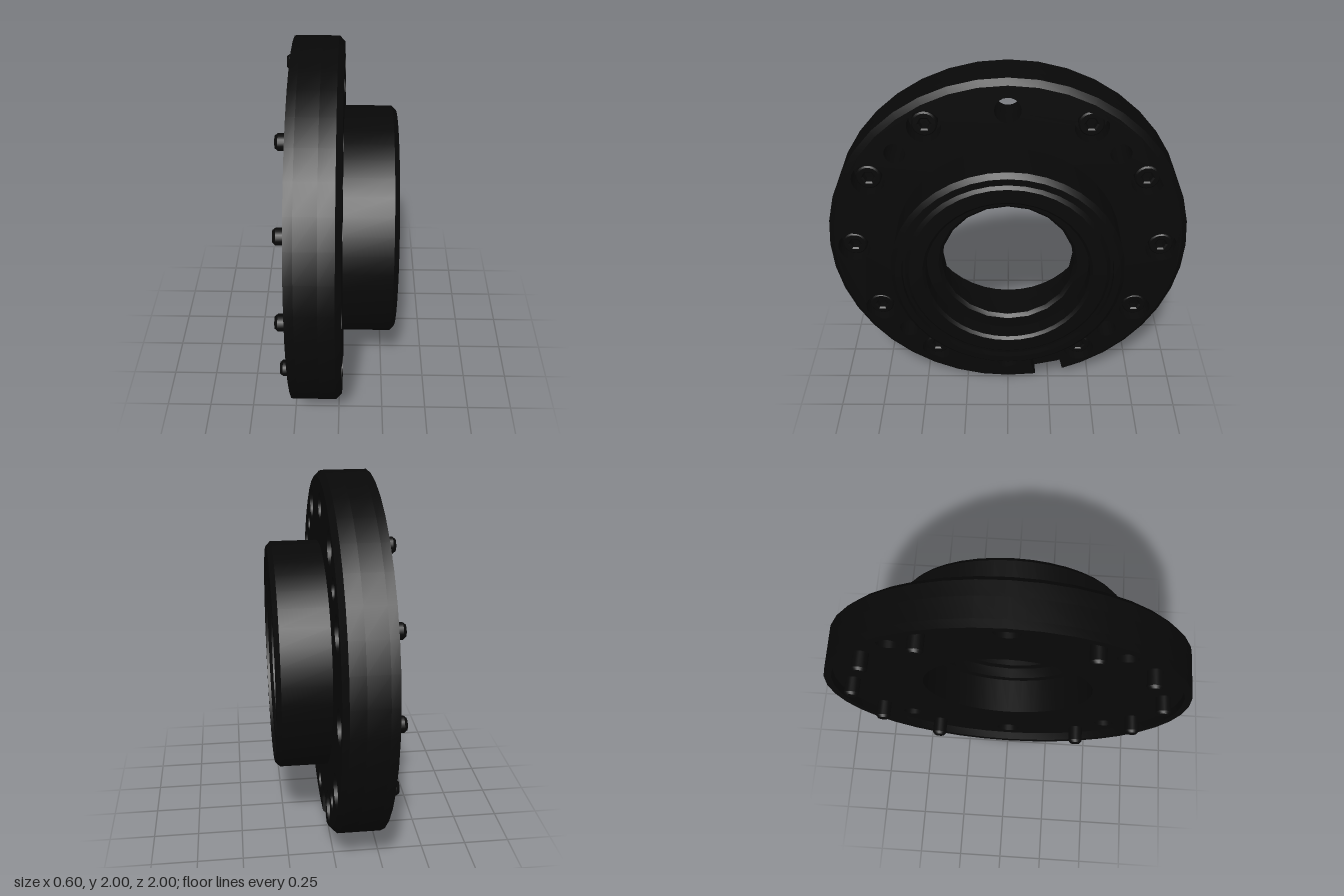
import * as THREE from 'three';
import { toCreasedNormals } from 'three/addons/utils/BufferGeometryUtils.js';

const BACK = -0.245, RECESS = -0.2, FLOOR = -0.09, EDGE = -0.01, FACE = 0.02;
const rad = THREE.MathUtils.degToRad;
const polar = (deg, r) => [r * Math.cos(rad(deg)), r * Math.sin(rad(deg))];

// Regular polygon path, used for bores, screw holes and sockets
function ring(cx, cy, r, n, phase = 0, Type = THREE.Path) {
  const pts = [];
  for (let i = 0; i < n; i++) {
    const [x, y] = polar(phase + (i * 360) / n, r);
    pts.push(new THREE.Vector2(cx + x, cy + y));
  }
  return new Type(pts);
}

// Revolved profile of [radius, x] pairs around the x axis
function revolve(profile, segments) {
  const pts = profile.map(([r, x]) => new THREE.Vector2(r, x));
  return toCreasedNormals(new THREE.LatheGeometry(pts, segments).rotateZ(-Math.PI / 2), 0.5);
}

// Flat plate between two positions along the x axis
function plate(shape, from, to) {
  const geo = new THREE.ExtrudeGeometry(shape, { depth: to - from, bevelEnabled: false });
  return toCreasedNormals(geo.translate(0, 0, from).rotateY(Math.PI / 2), 0.5);
}

export function createModel() {
  const black = new THREE.MeshStandardMaterial({ color: 0x080808 });
  black.name = 'black metal';
  const model = new THREE.Group();
  model.name = 'flangedHub';
  const body = new THREE.Group();
  body.name = 'body';
  body.position.y = 1;
  model.add(body);

  const add = (name, geometry, parent = body) => {
    const mesh = new THREE.Mesh(geometry, black);
    mesh.name = name;
    parent.add(mesh);
  };

  // Mounting holes: larger at top and bottom, smaller on the diagonals
  const mountingHoles = () => [45, 90, 135, 225, 270, 315].map((deg) =>
    ring(...polar(deg, 0.835), deg % 90 ? 0.057 : 0.07, 20, deg + 4));
  const screwAngles = [-60, -30, 0, 30, 60, 120, 150, 180, 210, 240];

  // Thin raised rim around the recessed back face
  const rim = ring(0, 0, 1, 40, 0, THREE.Shape);
  rim.holes.push(ring(0, 0, 0.96, 40));
  add('rearRim', plate(rim, BACK, RECESS));

  // Rear layer of the flange
  const rear = ring(0, 0, 1, 40, 0, THREE.Shape);
  rear.holes.push(ring(0, 0, 0.52, 40), ...mountingHoles());
  add('flangeRear', plate(rear, RECESS, FLOOR));

  // Front layer, with a slot open to the rim and counterbores for the screws
  const slot = -75, half = 5.2;
  const front = new THREE.Shape();
  front.moveTo(...polar(slot + half, 1));
  for (let deg = -63; deg <= 279; deg += 9) front.lineTo(...polar(deg, 1));
  front.lineTo(...polar(slot - half, 1));
  front.absarc(...polar(slot, 0.89), 0.09, rad(slot - 90), rad(slot - 270), true);
  front.holes.push(ring(0, 0, 0.52, 40), ...mountingHoles(),
    ...screwAngles.map((deg) => ring(...polar(deg, 0.86), 0.09, 20, deg + 7)));
  const frontGeo = new THREE.ExtrudeGeometry(front,
    { depth: 2, steps: 2, curveSegments: 8, bevelEnabled: false });
  // Set the three depth levels and pull in the last one for the rim chamfer
  const p = frontGeo.attributes.position;
  for (let i = 0; i < p.count; i++) {
    const level = Math.round(p.getZ(i));
    p.setZ(i, [FLOOR, EDGE, FACE][level]);
    const r = Math.hypot(p.getX(i), p.getY(i));
    if (level === 2 && r > 0.97) p.setXY(i, p.getX(i) * 0.97 / r, p.getY(i) * 0.97 / r);
  }
  add('flangeFront', toCreasedNormals(frontGeo.rotateY(Math.PI / 2), 0.5));

  // Raised hub with a grooved mouth and open rear bore
  add('hub', revolve([
    [0.625, 0], [0.625, 0.275], [0.6, 0.3], [0.565, 0.3], [0.565, 0.265],
    [0.55, 0.265], [0.53, 0.285], [0.455, 0.285], [0.44, 0.27], [0.44, 0.1],
    [0.47, 0.1], [0.47, RECESS], [0.53, RECESS],
  ], 40));

  // Inner lip that narrows the bore, stepped at the back
  add('boreLip', revolve([
    [0.48, 0.185], [0.378, 0.185], [0.36, 0.167], [0.36, 0.06],
    [0.42, 0.06], [0.42, 0], [0.49, 0],
  ], 20));

  // Socket screws, recessed at the front with tips out of the back
  const head = ring(0, 0, 0.06, 20, 0, THREE.Shape);
  head.holes.push(ring(0, 0, 0.04, 6));
  const headGeo = new THREE.ExtrudeGeometry(head, {
    depth: 0.07, bevelThickness: 0.008, bevelSize: 0.008, bevelSegments: 1,
  });
  headGeo.translate(0, 0, FLOOR + 0.004).rotateY(Math.PI / 2);
  const headGeometry = toCreasedNormals(headGeo, 0.5);
  const shankGeometry = revolve([
    [0, -0.3], [0.03, -0.3], [0.042, -0.285], [0.042, -0.055], [0, -0.055],
  ], 16);
  for (const deg of screwAngles) {
    const screw = new THREE.Group();
    screw.name = 'screw';
    const [u, v] = polar(deg, 0.86);
    screw.position.set(0, v, -u);
    add('screwHead', headGeometry, screw);
    add('screwShank', shankGeometry, screw);
    body.add(screw);
  }
  return model;
}
